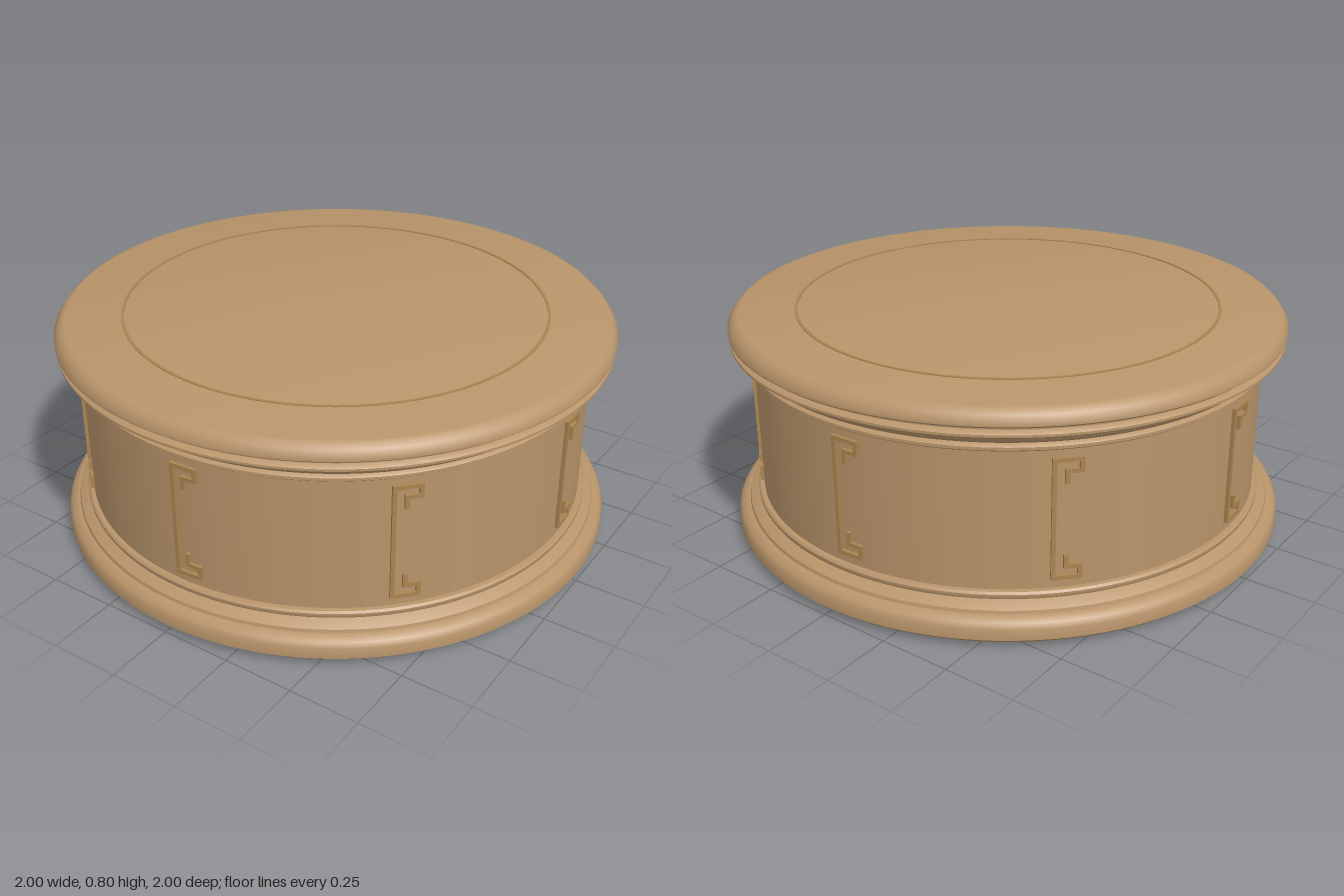
import * as THREE from 'three';
import { toCreasedNormals } from 'three/addons/utils/BufferGeometryUtils.js';

const wood = new THREE.MeshStandardMaterial({ color: 0xb8946a });
wood.name = 'tan body';
const gold = new THREE.MeshStandardMaterial({ color: 0xaa8450 });
gold.name = 'dull gold trim';

function lathe(name, points, material, segments = 128) {
  const geometry = new THREE.LatheGeometry(points.map(([r, y]) => new THREE.Vector2(r, y)), segments);
  const mesh = new THREE.Mesh(toCreasedNormals(geometry, 0.6), material);
  mesh.name = name;
  return mesh;
}

// One raised fret: a tall bar with a hooked arm at each end, bent around the drum
function createFret() {
  const fret = new THREE.Group();
  const w = 0.014, depth = 0.03, radius = 0.902;
  const bar = (x0, x1, y0, y1) => {
    const mesh = new THREE.Mesh(new THREE.BoxGeometry(x1 - x0 + w, y1 - y0 + w, depth), gold);
    const angle = (x0 + x1) / 2 / radius;
    mesh.position.set(Math.sin(angle) * radius, (y0 + y1) / 2, Math.cos(angle) * radius);
    mesh.rotation.y = angle;
    mesh.name = 'fretBar';
    fret.add(mesh);
  };
  bar(0, 0, 0.197, 0.603);
  for (const s of [-1, 1]) {
    const span = (x0, x1, a, b) => {
      const ys = [0.4 + s * a, 0.4 + s * b].sort((p, q) => p - q);
      bar(x0, x1, ys[0], ys[1]);
    };
    span(0, 0.085, 0.203, 0.203);
    span(0.085, 0.085, 0.165, 0.203);
    span(0.04, 0.085, 0.165, 0.165);
    span(0.04, 0.04, 0.13, 0.165);
  }
  return fret;
}

export function createModel() {
  const model = new THREE.Group();
  model.name = 'roundPedestal';

  // Rounded foot with stepped moulding
  model.add(lathe('base', [
    [0, 0], [0.95, 0], [0.965, 0.004], [0.985, 0.018], [1, 0.032], [1, 0.07], [0.99, 0.088],
    [0.97, 0.1], [0.96, 0.102], [0.957, 0.113], [0.94, 0.124], [0.922, 0.133],
    [0.926, 0.14], [0.926, 0.15], [0.92, 0.157], [0.9, 0.158],
  ], wood));

  // Drum wall
  model.add(lathe('drum', [[0.905, 0.15], [0.905, 0.65]], wood));

  // Flared cornice and top slab
  model.add(lathe('cornice', [
    [0.9, 0.642], [0.92, 0.642], [0.928, 0.648], [0.928, 0.658], [0.92, 0.665], [0.91, 0.668],
    [0.928, 0.674], [0.94, 0.686], [0.948, 0.702], [0.97, 0.707], [0.98, 0.714], [0.98, 0.722],
    [0.972, 0.729], [0.962, 0.732], [0.962, 0.738], [0.975, 0.742], [0.985, 0.75], [0.985, 0.762],
    [0.972, 0.782], [0.958, 0.796], [0.945, 0.8], [0, 0.8],
  ], wood));

  // Fine inlaid ring on the top
  model.add(lathe('topRing', [
    [0.753, 0.798], [0.753, 0.803], [0.743, 0.803], [0.743, 0.798],
  ], gold));

  // Eight frets around the drum
  for (let i = 0; i < 8; i++) {
    const fret = createFret();
    fret.name = 'fret';
    fret.rotation.y = (i * Math.PI) / 4;
    model.add(fret);
  }
  return model;
}
